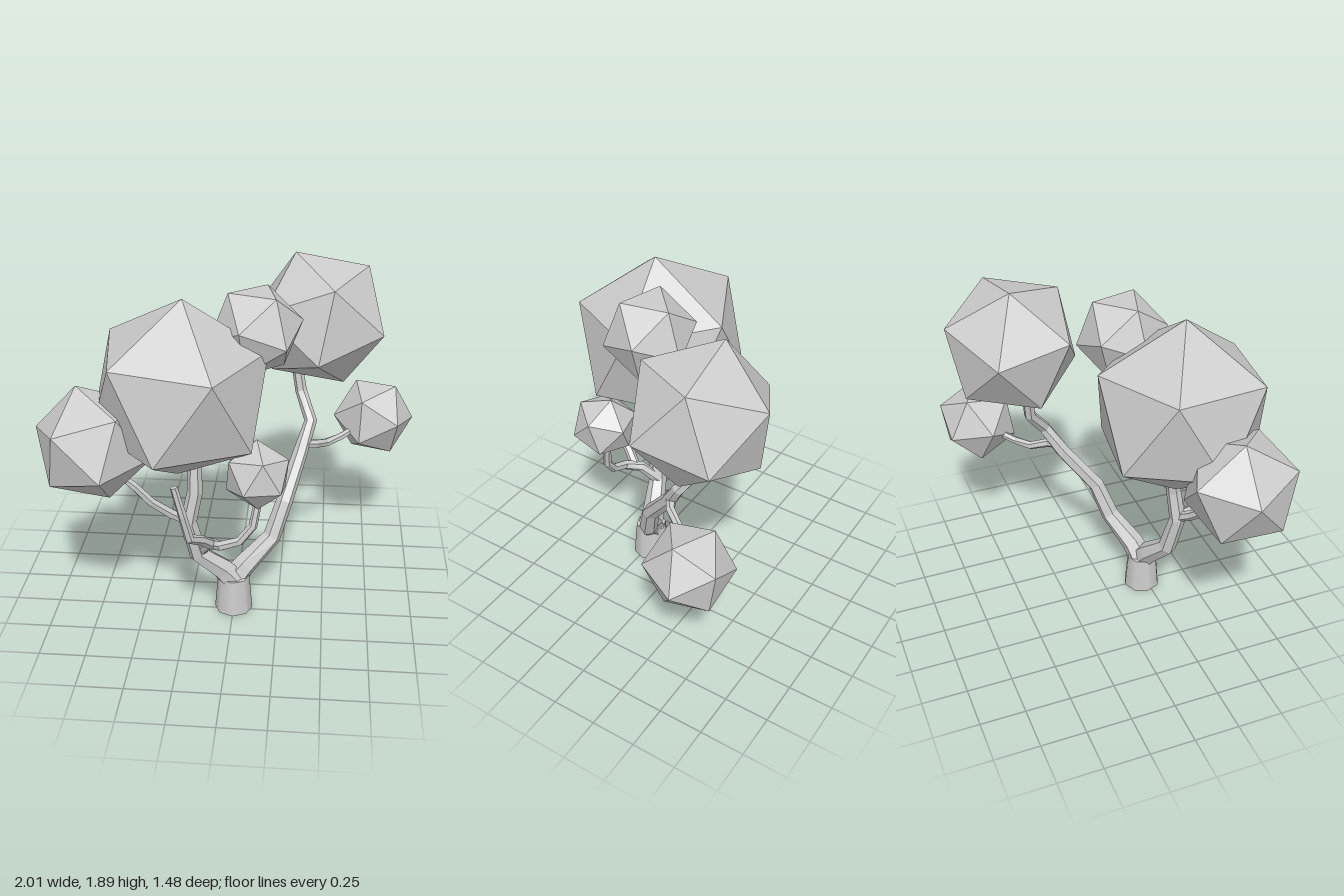
import * as THREE from 'three';

const V = (p) => new THREE.Vector3(...p);
const bark = new THREE.MeshStandardMaterial({ color: 0xcccccc, flatShading: true, side: THREE.DoubleSide });
const smoothBark = new THREE.MeshStandardMaterial({ color: 0xcccccc });
const leaf = new THREE.MeshStandardMaterial({ color: 0xcccccc, flatShading: true });

// Tapered limb: one six-sided ring per path point [x, y, z, radius]
function branch(name, path, sides = 6) {
  const pts = path.map((p) => V(p.slice(0, 3)));
  const last = pts.length - 1;
  const pos = [], index = [];
  pts.forEach((p, i) => {
    const t = new THREE.Vector3();
    if (i > 0) t.add(p.clone().sub(pts[i - 1]).normalize());
    if (i < last) t.add(pts[i + 1].clone().sub(p).normalize());
    t.normalize();
    const a = new THREE.Vector3(0, 0, 1).cross(t).normalize();
    const b = t.clone().cross(a);
    for (let j = 0; j < sides; j++) {
      const w = (j / sides) * Math.PI * 2;
      const q = p.clone().addScaledVector(a, Math.cos(w) * path[i][3]).addScaledVector(b, Math.sin(w) * path[i][3]);
      pos.push(q.x, q.y, q.z);
      if (i < last) {
        const k = (j + 1) % sides, r0 = i * sides, r1 = r0 + sides;
        index.push(r0 + j, r0 + k, r1 + k, r0 + j, r1 + k, r1 + j);
      }
    }
  });
  // End caps
  for (let j = 1; j < sides - 1; j++) {
    const e = last * sides;
    index.push(0, j + 1, j, e, e + j, e + j + 1);
  }
  const geo = new THREE.BufferGeometry();
  geo.setAttribute('position', new THREE.Float32BufferAttribute(pos, 3));
  geo.setIndex(index);
  geo.computeVertexNormals();
  const mesh = new THREE.Mesh(geo, bark);
  mesh.name = name;
  return mesh;
}

// Leaf ball: an icosahedron turned so two neighbouring corners point along u and v
function foliage(name, centre, radius, u, v) {
  const a = V(u).normalize(), b = V(v).normalize();
  const x = b.clone().sub(a).normalize();
  const y = b.clone().add(a).normalize();
  const mesh = new THREE.Mesh(new THREE.IcosahedronGeometry(radius, 0), leaf);
  mesh.quaternion.setFromRotationMatrix(new THREE.Matrix4().makeBasis(x, y, x.clone().cross(y)));
  mesh.position.set(...centre);
  mesh.name = name;
  return mesh;
}

export function createModel() {
  const tree = new THREE.Group();
  tree.name = 'tree';

  // Trunk
  const trunk = new THREE.Mesh(new THREE.CylinderGeometry(0.088, 0.106, 0.21, 8), smoothBark);
  trunk.name = 'trunk';
  trunk.position.set(0, 0.105, 0.225);
  tree.add(trunk);

  // Two main limbs
  tree.add(branch('rightLimb', [
    [0.02, 0.16, 0.225, 0.075], [-0.06, 0.26, 0.245, 0.065], [-0.19, 0.39, 0.3, 0.052],
    [-0.235, 0.61, 0.335, 0.046], [-0.2, 0.78, 0.32, 0.042], [-0.2, 1.05, 0.28, 0.036]]));
  tree.add(branch('leftLimb', [
    [-0.02, 0.16, 0.225, 0.075], [0.06, 0.26, 0.19, 0.065], [0.205, 0.395, 0.1, 0.052],
    [0.27, 0.59, 0.035, 0.047], [0.35, 0.82, -0.14, 0.042], [0.4, 0.97, -0.23, 0.036],
    [0.34, 1.11, -0.33, 0.033], [0.31, 1.27, -0.35, 0.031]]));

  // Thin side branches
  tree.add(branch('outerRightBranch', [
    [-0.22, 0.61, 0.33, 0.03], [-0.32, 0.68, 0.38, 0.028], [-0.42, 0.77, 0.42, 0.025],
    [-0.5, 0.87, 0.44, 0.023], [-0.6, 0.96, 0.45, 0.021]]));
  tree.add(branch('frontBranch', [
    [-0.18, 0.4, 0.29, 0.034], [-0.12, 0.5, 0.37, 0.032], [-0.05, 0.53, 0.44, 0.028],
    [0.05, 0.57, 0.45, 0.026], [0.12, 0.66, 0.44, 0.024], [0.14, 0.77, 0.42, 0.022],
    [0.14, 0.87, 0.42, 0.02]]));
  tree.add(branch('forwardBranch', [
    [-0.1, 0.51, 0.4, 0.03], [-0.15, 0.59, 0.49, 0.028], [-0.2, 0.65, 0.58, 0.026],
    [-0.23, 0.8, 0.6, 0.023], [-0.27, 0.96, 0.6, 0.02]]));
  tree.add(branch('outerLeftBranch', [
    [0.35, 0.86, -0.15, 0.028], [0.43, 0.84, -0.2, 0.026], [0.49, 0.805, -0.29, 0.024],
    [0.57, 0.81, -0.36, 0.022], [0.68, 0.84, -0.46, 0.02]]));

  // Leaf balls
  tree.add(foliage('mainFoliage', [-0.27, 1.365, 0.305], 0.497, [0.024, 0.495, 0.024], [-0.302, 0.223, 0.323]));
  tree.add(foliage('backFoliage', [0.433, 1.53, -0.385], 0.393, [-0.139, 0.363, -0.04], [0.257, 0.288, -0.072]));
  tree.add(foliage('topFoliage', [0.11, 1.64, 0.127], 0.248, [0.104, 0.194, 0.106], [-0.153, 0.21, 0.03]));
  tree.add(foliage('rightFoliage', [-0.703, 1.12, 0.45], 0.312, [0.083, -0.093, 0.286], [-0.153, 0.13, 0.239]));
  tree.add(foliage('frontFoliage', [0.14, 0.96, 0.427], 0.184, [-0.006, 0.179, -0.047], [0.16, 0.088, -0.01]));
  tree.add(foliage('leftFoliage', [0.767, 0.877, -0.53], 0.235, [0.228, -0.011, -0.03], [0.121, 0.203, 0.02]));
  return tree;
}
